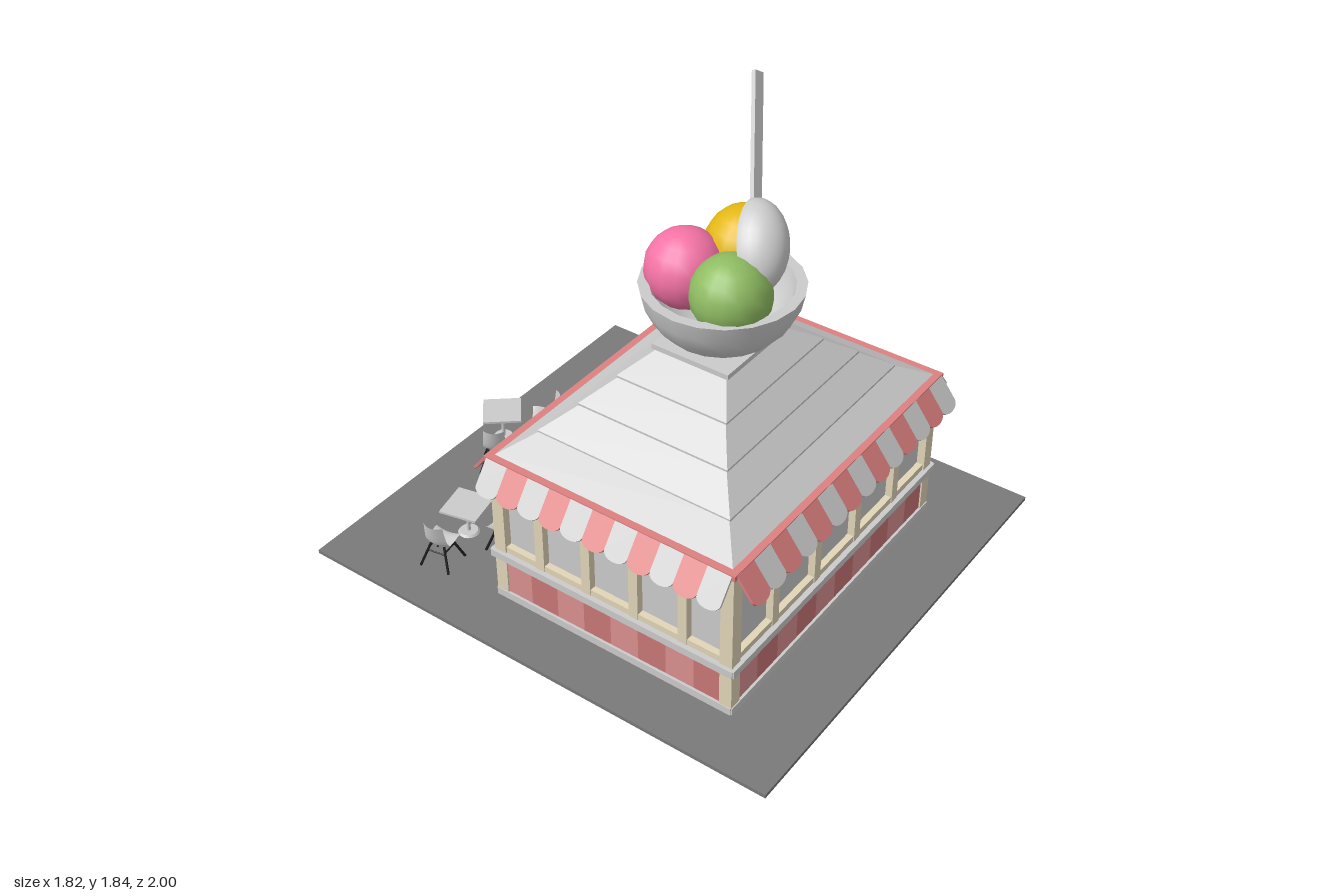
import * as THREE from 'three';
import { toCreasedNormals } from 'three/addons/utils/BufferGeometryUtils.js';

const mat = (color, side = THREE.FrontSide) => new THREE.MeshStandardMaterial({ color, side });
const GREY = mat(0xcccccc), GREY2 = mat(0xcccccc, THREE.DoubleSide), DARK = mat(0x7a7a7a), BLACK = mat(0x1c1c1c);
const CREAM = mat(0xe2d5b8), RED = mat(0xdc8080), RED2 = mat(0xdc8080, THREE.DoubleSide);
const PANEL_A = mat(0xdb9090), PANEL_B = mat(0xc97676);
const CX = -0.03, CZ = 0.205, HX = 0.66, HZ = 0.51; // building centre and half sizes

function add(parent, name, geo, material, x = 0, y = 0, z = 0) {
  const m = new THREE.Mesh(geo, material);
  m.name = name;
  m.position.set(x, y, z);
  parent.add(m);
  return m;
}

// Box given by its centre in x and z and its bottom and top heights
const slab = (parent, name, material, w, y0, y1, d, x = 0, z = 0) =>
  add(parent, name, new THREE.BoxGeometry(w, y1 - y0, d), material, x, (y0 + y1) / 2, z);

// Rod between two points
function rod(parent, name, a, b, r, material) {
  const dir = b.clone().sub(a);
  const m = add(parent, name, new THREE.CylinderGeometry(r, r, dir.length(), 6), material);
  m.position.copy(a).add(b).multiplyScalar(0.5);
  m.quaternion.setFromUnitVectors(new THREE.Vector3(0, 1, 0), dir.normalize());
}

// Box tapering from half sizes [x, z] at the bottom to those at the top
function frustum(bottom, top, h) {
  const g = new THREE.BoxGeometry(2, h, 2), p = g.attributes.position;
  for (let i = 0; i < p.count; i++) {
    const s = p.getY(i) > 0 ? top : bottom;
    p.setX(i, p.getX(i) * s[0]);
    p.setZ(i, p.getZ(i) * s[1]);
  }
  g.computeVertexNormals();
  return g;
}

// Awning strip with a rounded lower end
function awningGeometry(w, len) {
  const s = new THREE.Shape();
  s.moveTo(w / 2, 0);
  s.lineTo(-w / 2, 0);
  s.lineTo(-w / 2, -len + 0.028);
  s.absellipse(0, -len + 0.028, w / 2, 0.028, Math.PI, 2 * Math.PI, false, 0);
  return new THREE.ExtrudeGeometry(s, { depth: 0.01, bevelEnabled: false, curveSegments: 8 });
}

// One wall, built facing +z
function wall(name, hw, hd, stripes, panels, redFirst, door) {
  const g = new THREE.Group();
  g.name = name;
  const bay = (2 * hw) / 5;
  // striped lower panels
  const pw = (2 * hw - 0.08) / panels;
  for (let i = 0; i < panels; i++) {
    const x = -hw + 0.04 + pw * (i + 0.5);
    if (door && Math.abs(x) < 0.13) continue;
    slab(g, 'lowerPanel', i % 2 ? PANEL_B : PANEL_A, pw, 0.065, 0.22, 0.02, x, hd - 0.015);
  }
  // base strip, sill and rails, interrupted at the door
  const spans = door ? [[-hw, -0.12], [0.12, hw]] : [[-hw, hw]];
  for (const [a, b] of spans) {
    const w = b - a, x = (a + b) / 2;
    slab(g, 'baseStrip', GREY, w, 0.035, 0.065, 0.03, x, hd - 0.01);
    slab(g, 'sill', GREY, w + 0.02, 0.22, 0.25, 0.04, x, hd - 0.005);
    slab(g, 'windowRail', CREAM, w, 0.25, 0.275, 0.03, x, hd - 0.02);
  }
  slab(g, 'topRail', CREAM, 2 * hw, 0.6, 0.65, 0.03, 0, hd - 0.02);
  for (let i = 1; i < 5; i++)
    slab(g, 'windowPost', CREAM, 0.038, door && (i === 2 || i === 3) ? 0.05 : 0.25, 0.65, 0.03, -hw + bay * i, hd - 0.017);
  // scalloped awning
  const sw = (2 * hw) / stripes, geo = awningGeometry(sw, 0.128);
  for (let i = 0; i < stripes; i++) {
    const m = add(g, 'awningStripe', geo, (i % 2 === 0) === redFirst ? RED : GREY, -hw + sw * (i + 0.5), 0.662, hd + 0.005);
    m.rotation.x = -0.65;
  }
  return g;
}

function entrance(g, hd) {
  slab(g, 'door', GREY, 0.2, 0.085, 0.47, 0.03, 0, hd - 0.015);
  slab(g, 'doorHandle', DARK, 0.008, 0.24, 0.3, 0.015, -0.08, hd + 0.005);
  slab(g, 'upperStep', GREY, 0.23, 0.02, 0.085, 0.05, 0, hd + 0.005);
  slab(g, 'lowerStep', GREY, 0.23, 0.02, 0.058, 0.07, 0, hd + 0.025);
  // small curved canopy
  const profile = [[0, 0.535], [0.025, 0.522], [0.042, 0.5], [0.047, 0.45]];
  for (let i = 0; i < 5; i++) {
    const geo = new THREE.PlaneGeometry(0.052, 1, 1, 3), p = geo.attributes.position;
    for (let k = 0; k < p.count; k++) {
      const [z, y] = profile[Math.floor(k / 2)];
      p.setY(k, y);
      p.setZ(k, hd + z);
    }
    geo.computeVertexNormals();
    add(g, 'canopyStripe', geo, i % 2 ? GREY2 : RED2, (i - 2) * 0.052);
  }
}

function table(x, z, turn) {
  const g = new THREE.Group();
  g.name = 'table';
  slab(g, 'tableTop', GREY, 0.152, 0.158, 0.167, 0.152);
  add(g, 'tablePole', new THREE.CylinderGeometry(0.007, 0.007, 0.125, 10), GREY, 0, 0.097, 0);
  add(g, 'tableFoot', new THREE.CylinderGeometry(0.035, 0.042, 0.008, 16), GREY, 0, 0.039, 0);
  g.position.set(x, 0, z);
  g.rotation.y = turn;
  return g;
}

// Moulded chair facing +z on four splayed legs
function chair(x, z, tx, tz) {
  const g = new THREE.Group();
  g.name = 'chair';
  const profile = new THREE.CatmullRomCurve3([[0.13, 0.055], [0.135, 0.035], [0.13, -0.025], [0.155, -0.043], [0.235, -0.06]]
    .map(([y, d]) => new THREE.Vector3(0, y, d)));
  const rows = 10, cols = 6, geo = new THREE.PlaneGeometry(1, 1, cols, rows), p = geo.attributes.position;
  for (let i = 0; i < p.count; i++) {
    const t = Math.floor(i / (cols + 1)) / rows, u = p.getX(i) * 2, c = profile.getPoint(t);
    p.setXYZ(i, u * (0.054 - 0.014 * t * t), c.y + 0.014 * u * u * (1 - t), c.z + 0.018 * u * u * t);
  }
  geo.computeVertexNormals();
  add(g, 'chairShell', geo, GREY2);
  for (const sx of [-1, 1]) for (const sz of [-1, 1])
    rod(g, 'chairLeg', new THREE.Vector3(sx * 0.028, 0.13, sz * 0.025), new THREE.Vector3(sx * 0.06, 0.035, sz * 0.058), 0.005, BLACK);
  for (const s of [-1, 1]) {
    rod(g, 'legBrace', new THREE.Vector3(-0.04, 0.1, s * 0.034), new THREE.Vector3(0.04, 0.1, s * 0.034), 0.003, BLACK);
    rod(g, 'legBrace', new THREE.Vector3(s * 0.036, 0.11, -0.034), new THREE.Vector3(s * 0.036, 0.11, 0.034), 0.003, BLACK);
  }
  g.position.set(x, 0, z);
  g.rotation.y = Math.atan2(tx - x, tz - z);
  return g;
}

function sundae() {
  const g = new THREE.Group();
  g.name = 'iceCreamBowl';
  const profile = [[0, 0.99], [0.07, 0.995], [0.14, 1.015], [0.2, 1.055], [0.245, 1.105], [0.274, 1.165], [0.288, 1.228],
    [0.25, 1.228], [0.235, 1.165], [0.19, 1.1], [0.11, 1.05], [0, 1.035]].map(([r, y]) => new THREE.Vector2(r, y));
  add(g, 'bowl', toCreasedNormals(new THREE.LatheGeometry(profile, 20), 0.9), GREY2, CX, 0, CZ);
  const scoops = [['greenScoop', 0x8fbc62, -0.122, 1.263, 0.302, 0.143], ['pinkScoop', 0xf573a6, -0.066, 1.255, 0.076, 0.144],
    ['yellowScoop', 0xe2b714, 0.113, 1.297, 0.203, 0.149]];
  for (const [name, color, x, y, z, r] of scoops) add(g, name, new THREE.SphereGeometry(r, 16, 10), mat(color), x, y, z);

  // spoon: x across, y along the handle, z out of the rounded back
  const spoon = new THREE.Group();
  spoon.name = 'spoon';
  const along = new THREE.Vector3(0.545, 0.75, -0.37).normalize();
  const out = new THREE.Vector3(0.076, 0.394, 0.909);
  const across = along.clone().cross(out).normalize();
  out.crossVectors(across, along);
  spoon.quaternion.setFromRotationMatrix(new THREE.Matrix4().makeBasis(across, along, out));
  spoon.position.set(0.01, 1.385, 0.305);
  const half = new THREE.SphereGeometry(1, 24, 8, 0, Math.PI * 2, 0, Math.PI / 2).rotateX(Math.PI / 2);
  add(spoon, 'spoonHead', half.clone().scale(0.105, 0.163, 0.12), GREY2);
  add(spoon, 'spoonHollow', half.clone().scale(0.096, 0.154, 0.108), GREY2);
  add(spoon, 'spoonHandle', new THREE.BoxGeometry(0.046, 0.435, 0.016), GREY, 0, 0.372, 0);
  g.add(spoon);
  return g;
}

export function createModel() {
  const model = new THREE.Group();
  model.name = 'iceCreamKiosk';
  slab(model, 'ground', DARK, 1.82, 0.02, 0.035, 2);

  const house = new THREE.Group();
  house.name = 'kiosk';
  house.position.set(CX, 0, CZ);
  model.add(house);
  slab(house, 'windowCore', GREY, 2 * HX - 0.06, 0.035, 0.655, 2 * HZ - 0.06);
  for (const sx of [-1, 1]) for (const sz of [-1, 1])
    slab(house, 'cornerPost', CREAM, 0.05, 0, 0.655, 0.05, sx * (HX - 0.024), sz * (HZ - 0.024));
  const back = wall('backWall', HX, HZ, 14, 10, false, true);
  entrance(back, HZ);
  const walls = [wall('frontWall', HX, HZ, 14, 10, true, false), wall('leftWall', HZ, HX, 11, 8, false, false),
    back, wall('rightWall', HZ, HX, 11, 8, false, false)];
  walls.forEach((w, i) => { w.rotation.y = i * Math.PI / 2; house.add(w); });
  slab(house, 'roofTrim', RED, 1.345, 0.65, 0.672, 1.045);

  // overlapping roof tiers
  const tiers = [[0.645, 0.495, 0.672], [0.525, 0.4, 0.745], [0.412, 0.31, 0.832], [0.3, 0.228, 0.918], [0.185, 0.15, 1.0]];
  for (let i = 0; i < 4; i++) {
    const [x, z, y] = tiers[i], [nx, nz, ny] = tiers[i + 1];
    slab(house, 'tierLip', GREY, 2 * x, y - 0.008, y, 2 * z);
    add(house, 'roofTier', frustum([x, z], [nx - 0.012, nz - 0.012], ny - y), GREY, 0, (y + ny) / 2, 0);
  }
  slab(house, 'roofCap', GREY, 0.385, 0.998, 1.018, 0.315);

  model.add(sundae());

  // outdoor seating: table x, z, turn, then its two chairs
  const seating = [[0.02, -0.885, 0.7, [[-0.135, -0.785], [0.125, -0.745]]], [-0.5, -0.615, 0.22, [[-0.68, -0.585], [-0.475, -0.445]]],
    [0.39, -0.645, 0, [[0.565, -0.635], [0.385, -0.465]]]];
  for (const [x, z, turn, chairs] of seating) {
    model.add(table(x, z, turn));
    for (const [cx, cz] of chairs) model.add(chair(cx, cz, x, z));
  }
  return model;
}
